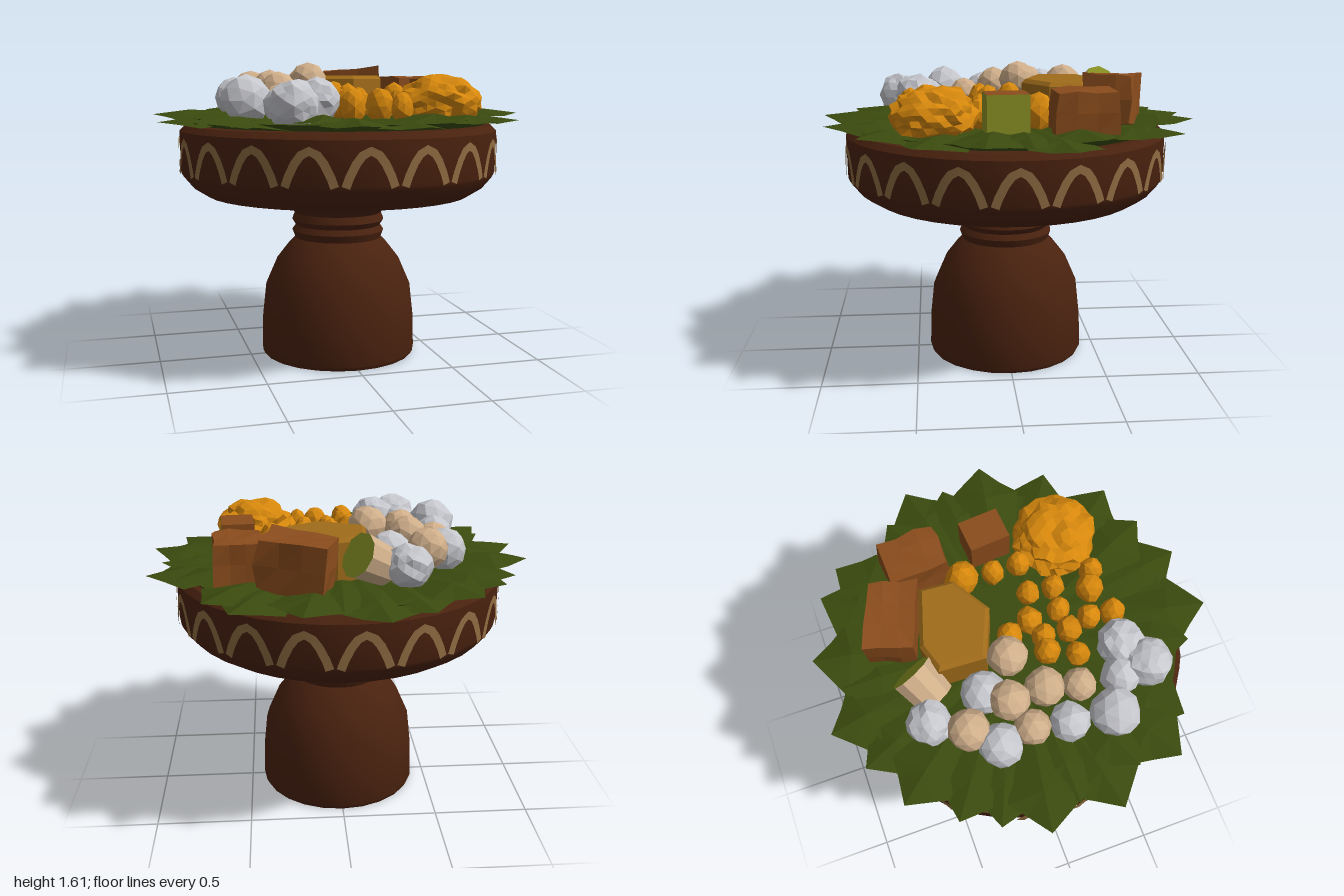
import * as THREE from 'three';
import { toCreasedNormals } from 'three/addons/utils/BufferGeometryUtils.js';

export function createModel() {
  const group = new THREE.Group();
  const mat = (name, color, opts = {}) => {
    const m = new THREE.MeshStandardMaterial({ color, ...opts });
    m.name = name;
    return m;
  };
  const flat = { flatShading: true };
  const wood = mat('dark wood', 0x4a220f);
  const inlay = mat('tan inlay', 0x8f6c42, { side: THREE.DoubleSide });
  const leafGreen = mat('leaf green', 0x3a4a0e, { flatShading: true, side: THREE.DoubleSide });
  const white = mat('white', 0xc6c7cd, flat);
  const beige = mat('beige', 0xcfae8a, flat);
  const orange = mat('orange', 0xd6870c, flat);
  const brown = mat('cake brown', 0x8a4c1c, flat);
  const honey = mat('honey', 0xa06c1a, flat);
  const olive = mat('olive', 0x8b9424, flat);

  const add = (name, geo, material, x = 0, y = 0, z = 0) => {
    const mesh = new THREE.Mesh(geo, material);
    mesh.name = name;
    mesh.position.set(x, y, z);
    group.add(mesh);
    return mesh;
  };

  // Repeatable value in -1..1 from a position, so shared corners stay joined
  const noise = (x, y, z, seed) => {
    const r = (v) => Math.round(v * 1000) / 1000 + 0;
    const s = Math.sin(r(x) * 127.1 + r(y) * 311.7 + r(z) * 74.7 + seed * 19.3) * 43758.5453;
    return (s - Math.floor(s)) * 2 - 1;
  };
  // Push vertices in or out from the middle
  const roughen = (geo, amount, seed) => {
    const p = geo.attributes.position;
    for (let i = 0; i < p.count; i++) {
      const x = p.getX(i), y = p.getY(i), z = p.getZ(i);
      const k = 1 + amount * noise(x, y, z, seed);
      p.setXYZ(i, x * k, y * k, z * k);
    }
    geo.computeVertexNormals();
    return geo;
  };
  const lathe = (profile, segments) =>
    toCreasedNormals(new THREE.LatheGeometry(profile.map(([r, y]) => new THREE.Vector2(r, y)), segments), 0.5);

  // Bell-shaped foot and neck
  add('foot', lathe([[0, 0], [0.42, 0], [0.43, 0.02], [0.425, 0.2], [0.405, 0.38], [0.34, 0.53],
    [0.27, 0.62], [0.24, 0.65], [0.255, 0.69], [0.235, 0.72], [0.255, 0.75], [0.24, 0.79],
    [0.28, 0.83], [0.285, 0.9]], 24), wood);

  // Shallow bowl
  add('bowl', lathe([[0, 0.87], [0.6, 0.88], [0.72, 0.9], [0.8, 0.95], [0.85, 1.01], [0.858, 1.03],
    [0.86, 1.2], [0.86, 1.25], [0.83, 1.28], [0, 1.29]], 38), wood);

  // Arch inlays: thin strips wrapped round the bowl
  const arches = 19;
  const line = [[-0.118, 1.03], [-0.1, 1.08], [-0.07, 1.14], [-0.04, 1.18], [0, 1.2],
    [0.04, 1.18], [0.07, 1.14], [0.1, 1.08], [0.118, 1.03]];
  const archPos = [], archIdx = [];
  for (let a = 0; a < arches; a++) {
    const mid = -0.082 + (a / arches) * Math.PI * 2;
    const base = archPos.length / 3;
    line.forEach(([u, y], i) => {
      const [u0, y0] = line[Math.max(0, i - 1)], [u1, y1] = line[Math.min(line.length - 1, i + 1)];
      const len = Math.hypot(u1 - u0, y1 - y0);
      for (const s of [0.021, -0.021]) {
        const ang = mid + (u - ((y1 - y0) / len) * s) / 0.867;
        archPos.push(Math.sin(ang) * 0.867, y + ((u1 - u0) / len) * s, Math.cos(ang) * 0.867);
      }
      if (i) {
        const k = base + i * 2;
        archIdx.push(k - 2, k - 1, k, k, k - 1, k + 1);
      }
    });
  }
  const archGeo = new THREE.BufferGeometry();
  archGeo.setAttribute('position', new THREE.Float32BufferAttribute(archPos, 3));
  archGeo.setIndex(archIdx);
  archGeo.computeVertexNormals();
  add('archInlays', archGeo, inlay);

  // Leaf lining: a disc and one folded leaf for each tip (x, z)
  add('leafDisc', new THREE.CylinderGeometry(0.83, 0.8, 0.03, 32), leafGreen, 0, 1.3, 0);
  const tips = [[-0.17, -1], [0.03, -0.88], [0.22, -0.98], [0.55, -0.85], [0.68, -0.73], [0.83, -0.4], [0.99, -0.25],
    [0.93, -0.06], [0.99, 0.17], [0.85, 0.49], [0.64, 0.76], [0.4, 0.85], [0.18, 0.96], [-0.15, 0.99],
    [-0.31, 0.83], [-0.66, 0.66], [-0.85, 0.56], [-0.83, 0.35], [-0.99, 0.21], [-0.9, 0.02],
    [-0.99, -0.16], [-0.88, -0.37], [-0.79, -0.55], [-0.63, -0.77], [-0.39, -0.89]];
  tips.forEach(([x, z], i) => {
    const R = Math.hypot(x, z);
    const lift = (i % 3) * 0.012;
    // Corners as across, up, along: ridge in the middle, two lower edges
    const pts = [[0, 1.325, 0.3], [0.11, 1.315, 0.5], [0.2, 1.285 + lift, R - 0.16], [0.1, 1.3 + lift, R - 0.08],
      [0, 1.31 + lift, R], [-0.1, 1.295 + lift, R - 0.1], [-0.18, 1.3 + lift, R - 0.17], [-0.11, 1.315, 0.5],
      [0, 1.335 + lift, R - 0.2]];
    const geo = new THREE.BufferGeometry();
    geo.setAttribute('position', new THREE.Float32BufferAttribute(pts.flat(), 3));
    const idx = [];
    for (let k = 0; k < 8; k++) idx.push(8, k, (k + 1) % 8);
    // Corner order runs clockwise from above, so flip to face up
    for (let k = 0; k < idx.length; k += 3) [idx[k + 1], idx[k + 2]] = [idx[k + 2], idx[k + 1]];
    geo.setIndex(idx.reverse());
    geo.computeVertexNormals();
    add('leaf', geo, leafGreen).rotation.y = Math.atan2(x, z);
  });

  // Rounded faceted pieces: x, y, z, radius
  const lumps = (name, material, list, detail, rough, sy = 1) => list.forEach(([x, y, z, r], i) => {
    const m = add(name, roughen(new THREE.IcosahedronGeometry(1, detail), rough, i + 1), material, x, y, z);
    m.scale.set(r, r * sy, r);
    m.rotation.y = i * 1.3;
  });
  lumps('whiteBall', white, [[-0.53, 1.42, -0.25, 0.11], [-0.25, 1.41, -0.24, 0.11], [-0.53, 1.41, 0.1, 0.1],
    [-0.56, 1.42, 0.32, 0.125], [-0.39, 1.39, 0.42, 0.1]], 1, 0.06);
  lumps('crumpledWhiteBall', white, [[-0.31, 1.42, -0.53, 0.11], [-0.24, 1.42, 0.48, 0.115],
    [-0.37, 1.4, 0.57, 0.125]], 2, 0.09);
  lumps('beigeBall', beige, [[-0.42, 1.46, -0.37, 0.105], [-0.5, 1.43, -0.08, 0.09], [-0.35, 1.47, -0.14, 0.1],
    [-0.34, 1.46, 0.04, 0.1], [-0.15, 1.51, -0.08, 0.1], [-0.37, 1.41, 0.21, 0.085]], 1, 0.04);
  lumps('orangePiece', orange, [[-0.02, 1.42, -0.02, 0.065], [-0.15, 1.4, 0.13, 0.065], [0.03, 1.41, 0.1, 0.065],
    [0.18, 1.39, 0.15, 0.06], [0.35, 1.39, 0.16, 0.06], [0.35, 1.39, 0.02, 0.06], [0.37, 1.39, -0.14, 0.085],
    [-0.21, 1.38, 0.27, 0.06], [-0.08, 1.4, 0.27, 0.065], [0.04, 1.4, 0.26, 0.06], [0.17, 1.39, 0.28, 0.06],
    [-0.05, 1.4, 0.39, 0.06], [-0.06, 1.39, 0.51, 0.065], [0.1, 1.39, 0.45, 0.07], [0.2, 1.38, 0.5, 0.06],
    [-0.07, 1.4, 0.14, 0.06]], 1, 0.08, 1.35);
  lumps('crumpledOrangeMound', orange, [[0.44, 1.4, 0.39, 0.21]], 4, 0.11, 0.68);

  // Beige roll with an olive cut end
  const roll = add('cutRoll', new THREE.CylinderGeometry(0.115, 0.1, 0.18, 10), [beige, olive, beige],
    -0.13, 1.44, -0.5);
  roll.quaternion.setFromUnitVectors(new THREE.Vector3(0, 1, 0), new THREE.Vector3(0.75, 0.45, -0.4).normalize());

  // Honey-coloured block with a many-sided outline
  const outline = [[-0.1, 0.4], [0.03, 0.44], [0.3, 0.36], [0.29, 0.21], [0.11, 0.1], [-0.11, 0.19]];
  const shape = new THREE.Shape(outline.reverse().map(([x, y]) => new THREE.Vector2(x, y)));
  const blockGeo = new THREE.ExtrudeGeometry(shape,
    { depth: 0.2, bevelThickness: 0.02, bevelSize: 0.02, bevelSegments: 1 });
  add('honeyBlock', blockGeo, honey, 0, 1.32, 0).rotation.x = -Math.PI / 2;

  // Brown cakes: slightly uneven boxes
  const cake = (w, h, d, x, y, z, turn, seed) => {
    const m = add('brownCake', roughen(new THREE.BoxGeometry(w, h, d, 3, 2, 3), 0.07, seed), brown, x, y, z);
    m.rotation.y = turn;
    return m;
  };
  cake(0.34, 0.25, 0.24, 0.23, 1.45, -0.54, -0.35, 3).rotation.z = 0.08;
  cake(0.23, 0.2, 0.3, 0.52, 1.43, -0.34, 0.05, 5);

  // Small cake with olive sides
  add('oliveSidedCake', new THREE.BoxGeometry(0.17, 0.19, 0.21),
    [olive, brown, brown, brown, olive, brown], 0.53, 1.425, 0.04).rotation.y = 0.08;

  return group;
}
